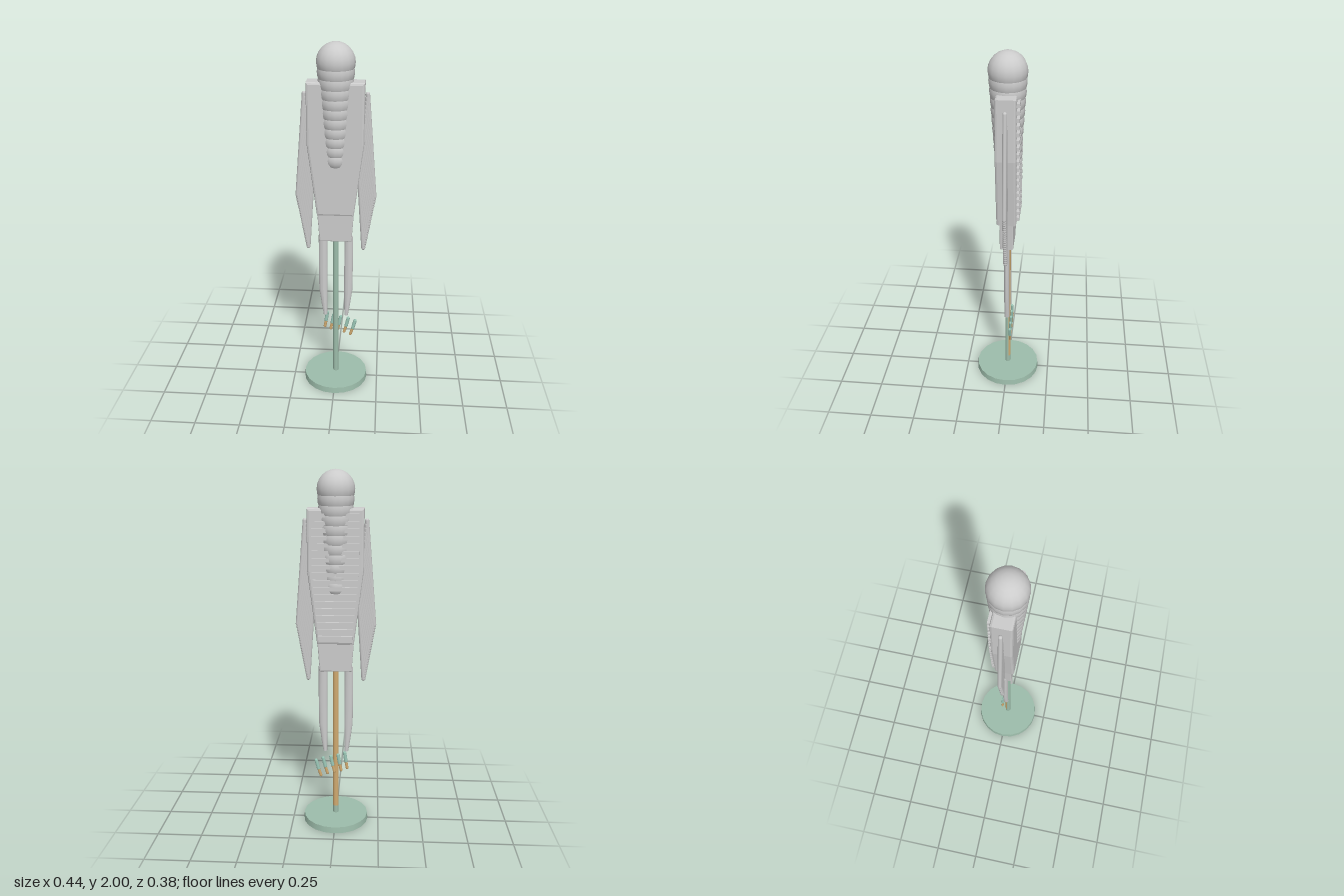
import * as THREE from 'three';

const grey = new THREE.MeshStandardMaterial({ color: 0xcccccc });
const green = new THREE.MeshStandardMaterial({ color: 0x9dbdab });
const teal = new THREE.MeshStandardMaterial({ color: 0x9cc8b8 });
const tan = new THREE.MeshStandardMaterial({ color: 0xd0aa70 });
const lerp = THREE.MathUtils.lerp;

function add(parent, name, geometry, material = grey) {
  const mesh = new THREE.Mesh(geometry, material);
  mesh.name = name;
  parent.add(mesh);
  return mesh;
}

// Bevelled plate with a front outline, centred on z = 0
function plate(points, halfDepth, bevel) {
  const shape = new THREE.Shape(points.map(([x, y]) => new THREE.Vector2(x, y)));
  const depth = 2 * (halfDepth - bevel);
  return new THREE.ExtrudeGeometry(shape, {
    depth, bevelSize: bevel, bevelOffset: -bevel, bevelThickness: bevel, bevelSegments: 2,
  }).translate(0, 0, -depth / 2);
}

// Round rod from a to b with rounded ends
function rod(parent, name, a, b, radius, material) {
  const dir = b.clone().sub(a);
  const mesh = add(parent, name, new THREE.CapsuleGeometry(radius, dir.length(), 3, 8), material);
  mesh.position.copy(a).add(b).multiplyScalar(0.5);
  mesh.quaternion.setFromUnitVectors(new THREE.Vector3(0, 1, 0), dir.normalize());
  return mesh;
}

export function createModel() {
  const model = new THREE.Group();
  model.name = 'perchedBird';

  // Stand
  add(model, 'base', new THREE.CylinderGeometry(0.185, 0.188, 0.035, 20)).position.y = 0.0175;
  model.children[0].material = green;
  add(model, 'pole', new THREE.CylinderGeometry(0.016, 0.016, 0.93, 12), green).position.y = 0.466;
  add(model, 'poleBack',
    new THREE.CylinderGeometry(0.0165, 0.0165, 0.84, 8, 1, true, Math.PI * 0.6, Math.PI * 0.8), tan)
    .position.y = 0.5;

  // Body and hips
  add(model, 'torso', plate([[-0.1, 1.08], [0.1, 1.08], [0.15, 1.48], [0.15, 1.805],
    [-0.15, 1.805], [-0.15, 1.48]], 0.054, 0.012));
  add(model, 'hips', plate([[-0.088, 0.92], [0.088, 0.92], [0.1, 1.09], [-0.1, 1.09]], 0.037, 0.006));

  // Head and the tapering chain of beads below it
  for (let i = 0; i <= 10; i++) {
    const r = lerp(0.1, 0.068, i / 10);
    add(model, i ? 'neckBead' : 'head', new THREE.SphereGeometry(r, 16, 12))
      .position.y = 1.9 - i * 0.0505;
  }

  // Slats across the back
  for (let i = 0; i < 18; i++) {
    const t = i / 17;
    const half = t < 0.45 ? 0.125 : lerp(0.125, 0.092, (t - 0.45) / 0.55);
    add(model, 'backSlat', new THREE.BoxGeometry(half * 2, 0.02, 0.02))
      .position.set(0, lerp(1.77, 1.12, t), -0.059);
  }

  for (const side of [-1, 1]) {
    // Wing: a fan of long feathers with stepped tips
    const wing = new THREE.Group();
    wing.name = side > 0 ? 'leftWing' : 'rightWing';
    model.add(wing);
    for (let i = 0; i < 22; i++) {
      const t = i / 21;
      rod(wing, 'feather',
        new THREE.Vector3(side * lerp(0.163, 0.125, t), lerp(1.74, 1.3, t), 0),
        new THREE.Vector3(side * lerp(0.209, 0.154, t), lerp(1.18, 0.87, t), 0), 0.0115);
    }

    // Leg: rounded, narrowing on the outside
    const rings = [[0.94, 0.048, 0.096], [0.75, 0.048, 0.097], [0.6, 0.048, 0.096],
      [0.5, 0.049, 0.083], [0.43, 0.05, 0.072]];
    const leg = new THREE.CylinderGeometry(1, 1, 1, 12, rings.length - 1);
    const pos = leg.attributes.position;
    for (let i = 0; i < pos.count; i++) {
      const [y, inner, outer] = rings[Math.round((0.5 - pos.getY(i)) * (rings.length - 1))];
      pos.setXYZ(i, side * (inner + outer) / 2 + pos.getX(i) * (outer - inner) / 2, y,
        pos.getZ(i) * 0.015);
    }
    leg.computeVertexNormals();
    add(model, side > 0 ? 'leftLeg' : 'rightLeg', leg);
  }

  // Row of slanted two-tone tail tips
  const tips = [[-0.052, 0.425], [-0.014, 0.41], [0.028, 0.4], [0.072, 0.39], [0.113, 0.375]];
  tips.forEach(([x, y], i) => {
    const slant = 0.013 + i * 0.003;
    const top = new THREE.Vector3(x, y, -0.021);
    const middle = new THREE.Vector3(x - slant * 0.55, y - 0.052, -0.021);
    const end = new THREE.Vector3(x - slant * 1.1, y - 0.094, -0.021);
    rod(model, 'tailTipUpper', top, middle, 0.01, teal).scale.z = 0.8;
    rod(model, 'tailTipLower', middle, end, 0.0085, tan).scale.z = 0.8;
  });

  return model;
}
